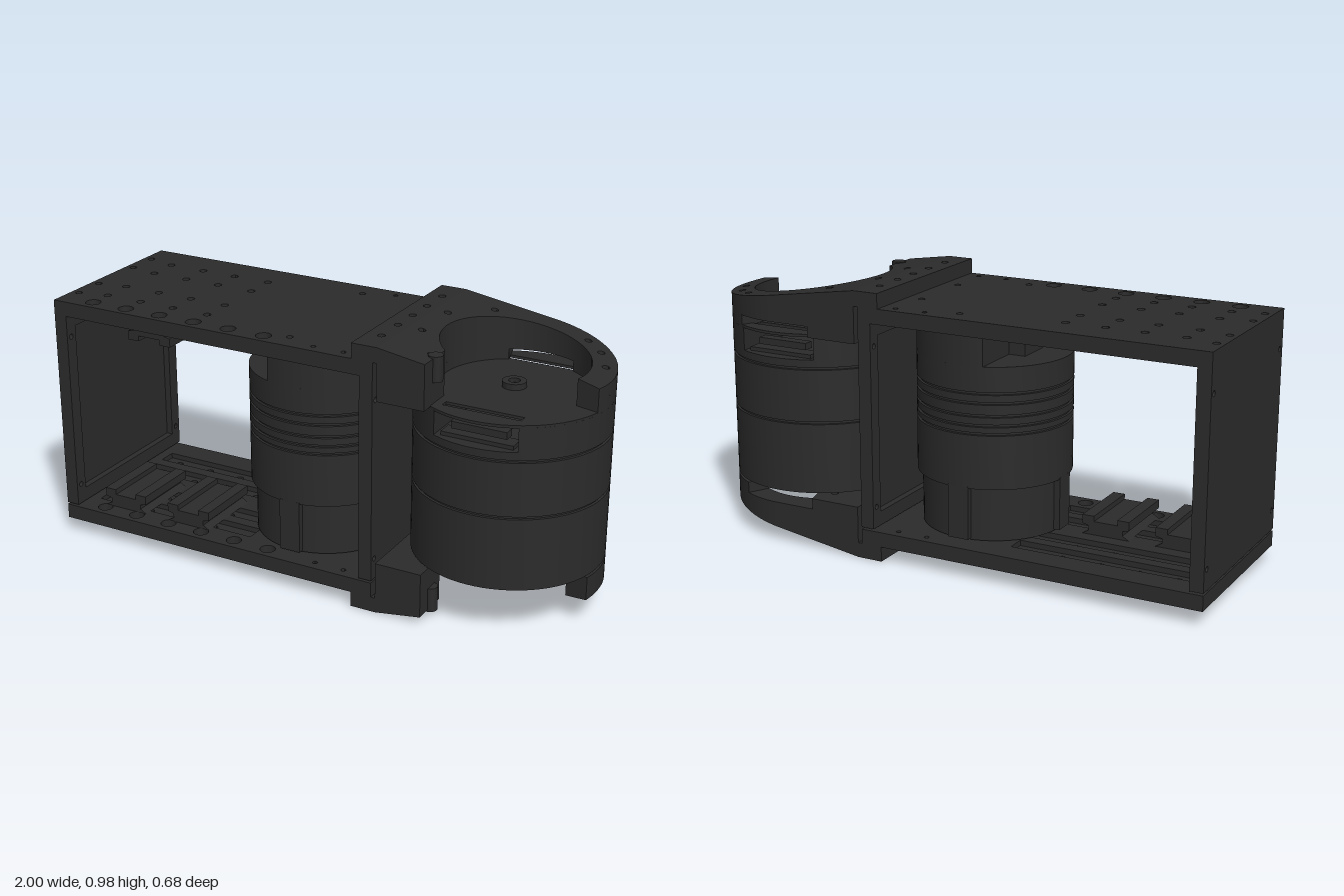
import * as THREE from 'three';
import { toCreasedNormals } from 'three/addons/utils/BufferGeometryUtils.js';

const material = new THREE.MeshStandardMaterial({ color: 0x2b2b2b });
const rad = THREE.MathUtils.degToRad;
const CX = 0.66, R = 0.34, MID = 0.49; // joint centre, outer radius, mirror height

function add(parent, name, geometry, x = 0, y = 0, z = 0) {
  const mesh = new THREE.Mesh(geometry, material);
  mesh.name = name;
  mesh.position.set(x, y, z);
  parent.add(mesh);
  return mesh;
}
function group(parent, name) {
  const g = new THREE.Group();
  g.name = name;
  parent.add(g);
  return g;
}
const box = (w, h, d) => new THREE.BoxGeometry(w, h, d);
const cyl = (r, h, n = 32) => toCreasedNormals(new THREE.CylinderGeometry(r, r, h, n), 0.7);

function rectPath(PathType, x0, y0, x1, y1) {
  const p = new PathType();
  p.moveTo(x0, y0).lineTo(x1, y0).lineTo(x1, y1).lineTo(x0, y1).closePath();
  return p;
}
function drill(shape, x, y, r) {
  const p = new THREE.Path();
  p.absarc(x, y, r, 0, Math.PI * 2, true);
  shape.holes.push(p);
}
function extrude(shape, depth) {
  return new THREE.ExtrudeGeometry(shape, { depth, bevelEnabled: false, curveSegments: 32 });
}
// Plan shapes are drawn as (x, -z) and raised along y
function slab(shape, y0, y1) {
  return toCreasedNormals(extrude(shape, y1 - y0).rotateX(-Math.PI / 2).translate(0, y0, 0), 0.5);
}
function lathe(points) {
  return toCreasedNormals(new THREE.LatheGeometry(points.map(p => new THREE.Vector2(...p)), 72), 0.5);
}
// Turned body with narrow grooves at the given heights
function groovedBody(r, y0, y1, grooves) {
  const pts = [[0, y0], [r, y0]];
  for (const y of grooves) pts.push([r, y - 0.005], [r - 0.008, y - 0.004], [r - 0.008, y + 0.004], [r, y + 0.005]);
  pts.push([r, y1], [0, y1]);
  return lathe(pts);
}
// Part of a disc on the +x side (side = 1) or -x side (side = -1) of a chord
function discSegment(r, chord, side) {
  const s = new THREE.Shape();
  const a = Math.acos(chord / r);
  const turn = side > 0 ? 0 : Math.PI;
  s.absarc(0, 0, r, turn - a, turn + a, false);
  s.closePath();
  return s;
}

// Long plate: drilled outer skin and slotted inner skin
function addPlate(parent) {
  const outer = rectPath(THREE.Shape, -1, -0.34, 0.30, 0.34);
  const inner = rectPath(THREE.Shape, -1, -0.34, 0.30, 0.34);
  for (const v of [-0.205, -0.09, 0.09, 0.205]) {
    for (const x of [-0.86, -0.715, -0.575, -0.43]) drill(outer, x, v, 0.014);
    inner.holes.push(rectPath(THREE.Path, -0.92, v - 0.035, -0.25, v + 0.035));
  }
  for (const v of [-0.23, -0.11, 0.11, 0.23]) drill(outer, -0.97, v, 0.013);
  for (const s of [-1, 1]) {
    drill(outer, -0.06, s * 0.26, 0.012);
    drill(outer, 0.165, s * 0.13, 0.012);
    for (const shape of [outer, inner]) for (const x of [0.055, 0.17]) drill(shape, x, s * 0.3, 0.009);
  }
  for (let i = 0; i < 6; i++) for (const shape of [outer, inner]) drill(shape, -0.86 + i * 0.143, -0.292, 0.028);
  add(parent, 'plateOuterSkin', slab(outer, 0.89, 0.925));
  add(parent, 'plateInnerSkin', slab(inner, 0.87, 0.89));
}

// Upright end plate: solid skin plus a raised rim; dir is the side the rim faces
function addEndPlate(parent, name, x, dir) {
  const g = group(parent, name);
  for (const rim of [false, true]) {
    const s = rectPath(THREE.Shape, -0.34, 0.118, 0.34, 0.872);
    for (const z of [-0.316, 0.316]) for (const y of [0.195, 0.785]) drill(s, z, y, 0.01);
    if (rim) s.holes.push(rectPath(THREE.Path, -0.29, 0.17, 0.29, 0.82));
    const geo = toCreasedNormals(extrude(s, 0.025).rotateY(Math.PI / 2), 0.5);
    add(g, rim ? 'endPlateRim' : 'endPlateSkin', geo, x + (rim ? dir : 0) * 0.025 - 0.0125);
  }
}

// Wedge bracket: mounting block, ring with an open front and a low window at the back
function addBracket(parent) {
  const mount = rectPath(THREE.Shape, 0.22, -0.34, 0.316, 0.34);
  for (const v of [-0.23, -0.11, 0, 0.11, 0.23]) drill(mount, 0.275, v, 0.013);
  add(parent, 'bracketMount', slab(mount, 0.925, 0.98));

  const ri = 0.255, start = rad(228), end = rad(-14), winL = rad(118), winR = rad(62);
  const base = stop => {
    const s = new THREE.Shape();
    s.moveTo(0.316, -0.34).lineTo(0.49, -0.34).lineTo(0.49, -0.19);
    s.absarc(CX, 0, ri, start, stop, true);
    return s;
  };
  const upper = base(end);
  upper.absarc(CX, 0, R, end, Math.PI / 2, false);
  upper.lineTo(0.316, 0.34).closePath();
  const near = base(winL);
  near.lineTo(0.51, 0.34).lineTo(0.316, 0.34).closePath();
  const arm = new THREE.Shape();
  arm.absarc(CX, 0, ri, winR, end, true);
  arm.absarc(CX, 0, R, end, winR, false);
  arm.closePath();
  for (const [x, v] of [[0.36, 0.1], [0.36, -0.1], [0.47, 0.25], [0.47, -0.25]]) {
    drill(upper, x, v, 0.013);
    drill(near, x, v, 0.013);
  }
  for (const a of [18, 40, 58]) drill(upper, CX + 0.3 * Math.cos(rad(a)), 0.3 * Math.sin(rad(a)), 0.013);

  // Slope the outer face down toward the tip
  const geo = extrude(upper, 0.15).rotateX(-Math.PI / 2).translate(0, 0.83, 0);
  const p = geo.attributes.position;
  for (let i = 0; i < p.count; i++) {
    if (p.getY(i) > 0.9) p.setY(i, 0.98 - 0.105 * (p.getX(i) - 0.316) / 0.684);
  }
  add(parent, 'bracketRing', toCreasedNormals(geo, 0.5));
  add(parent, 'bracketLowerBlock', slab(near, 0.79, 0.83));
  add(parent, 'bracketLowerArm', slab(arm, 0.79, 0.83));
  add(parent, 'bracketBoss', cyl(0.026, 0.09, 20), 0.488, 0.915, 0.255);
}

// T-slot rail with a grooved face, profile in x and y
function railGeometry() {
  const half = [[0.09, 0], [0.09, 0], [0.065, 0.015], [0.065, 0.032], [0.09, 0.038], [0.09, 0.07], [0.045, 0.07], [0.045, 0.05]];
  const s = new THREE.Shape([...half, ...half.slice(1).reverse().map(([x, y]) => [-x, y])]
    .map(q => new THREE.Vector2(...q)));
  return toCreasedNormals(extrude(s, 0.27), 0.5);
}

function addJointMotor(parent) {
  const g = group(parent, 'jointMotor');
  g.position.x = CX;
  add(g, 'motorBody', groovedBody(R, 0.2, 0.7, [0.465, 0.667]));
  for (const side of [-1, 1]) add(g, 'motorShoulder', slab(discSegment(R, 0.15, side), 0.7, 0.786));
  // Cover with a slot over each connector
  const cover = new THREE.Shape();
  cover.absarc(0, 0, R, 0, Math.PI * 2, false);
  for (const s of [-1, 1]) {
    cover.holes.push(rectPath(THREE.Path, -0.14, s * 0.25 - 0.015, 0.14, s * 0.25 + 0.015));
    add(g, 'connectorBase', box(0.26, 0.014, 0.06), 0, 0.707, s * 0.265);
    add(g, 'connector', box(0.2, 0.025, 0.04), 0, 0.737, s * 0.26);
  }
  add(g, 'motorCover', slab(cover, 0.784, 0.794));
  add(g, 'hub', lathe([[0, 0.79], [0.042, 0.79], [0.042, 0.815], [0.02, 0.815], [0.02, 0.8], [0, 0.8]]));
  add(g, 'motorFoot', cyl(0.25, 0.02, 64), 0, 0.192, 0);
}

function addInnerMotor(parent) {
  const g = group(parent, 'innerMotor');
  g.position.x = -0.06;
  add(g, 'motorBody', groovedBody(0.28, 0.31, 0.75, [0.51, 0.54, 0.575, 0.62, 0.655]));
  add(g, 'motorBase', cyl(0.26, 0.2, 64), 0, 0.215, 0);
  for (let i = 0; i < 4; i++) {
    const a = i * Math.PI / 2;
    add(g, 'basePad', box(0.08, 0.195, 0.07), Math.sin(a) * 0.244, 0.2175, Math.cos(a) * 0.244).rotation.y = a;
  }
  add(g, 'motorHead', slab(discSegment(0.28, -0.09, 1), 0.75, 0.87));
  add(g, 'cableSocket', box(0.065, 0.085, 0.14), -0.12, 0.79, 0);
}

export function createModel() {
  const model = new THREE.Group();
  model.name = 'robotArmLink';

  // Upper half of the shell, and the same mirrored below
  for (const upper of [true, false]) {
    const half = group(model, upper ? 'upperShell' : 'lowerShell');
    if (!upper) {
      half.scale.y = -1;
      half.position.y = MID * 2;
    }
    addPlate(half);
    addBracket(half);
  }
  addEndPlate(model, 'farEndPlate', -0.9875, 1);
  addEndPlate(model, 'jointEndPlate', 0.2875, -1);

  // Rails on the floor and ceiling
  const rail = railGeometry();
  for (const x of [-0.78, -0.5]) add(model, 'floorRail', rail, x, 0.11, 0);
  add(model, 'ceilingRail', rail, -0.64, 0.87, 0.27).rotation.x = Math.PI;

  addInnerMotor(model);
  addJointMotor(model);
  return model;
}
